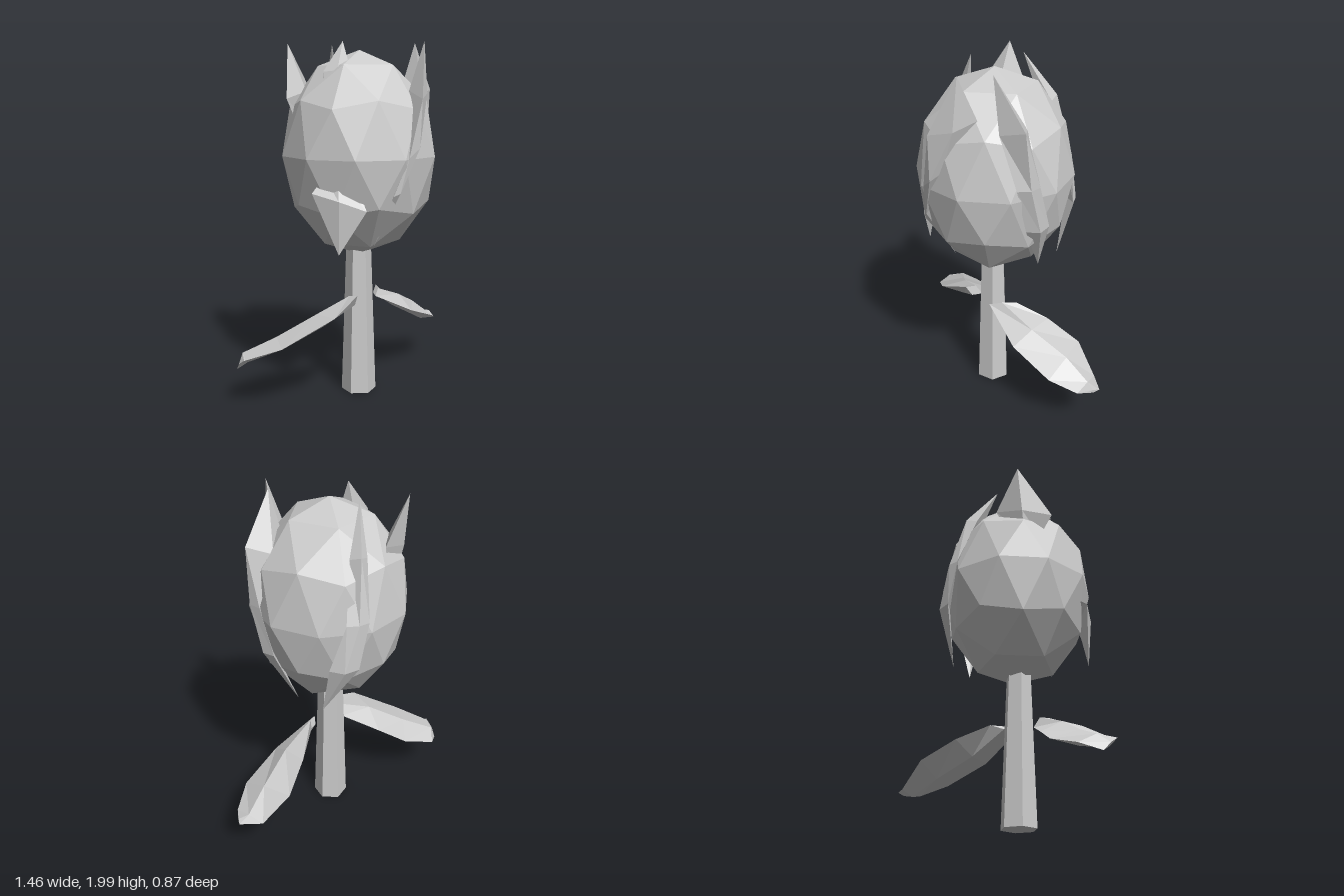
import * as THREE from 'three';

const material = new THREE.MeshStandardMaterial({ color: 0xcccccc, flatShading: true });

// Lofts a faceted blade through sections [edgeA, edgeB, thickness];
// each section becomes a diamond, and a section with one point is a sharp end.
function blade(name, sections) {
  const edges = sections.map(([a, b]) => [new THREE.Vector3(...a), new THREE.Vector3(...(b || a))]);
  const mids = edges.map(([a, b]) => a.clone().add(b).multiplyScalar(0.5));
  const rings = edges.map(([a, b], i) => {
    const along = mids[Math.min(i + 1, mids.length - 1)].clone().sub(mids[Math.max(i - 1, 0)]);
    const n = along.cross(b.clone().sub(a)).normalize().multiplyScalar(sections[i][2] || 0);
    return [a, mids[i].clone().add(n), b, mids[i].clone().sub(n)];
  });
  const tris = [];
  const add = (a, b, c) => {
    const area = b.clone().sub(a).cross(c.clone().sub(a)).length();
    if (area > 1e-6) tris.push([a, b, c]);
  };
  for (let i = 0; i < rings.length - 1; i++) {
    for (let j = 0; j < 4; j++) {
      const k = (j + 1) % 4;
      add(rings[i][j], rings[i][k], rings[i + 1][k]);
      add(rings[i][j], rings[i + 1][k], rings[i + 1][j]);
    }
  }
  const first = rings[0], last = rings[rings.length - 1];
  add(first[0], first[2], first[1]);
  add(first[0], first[3], first[2]);
  add(last[0], last[1], last[2]);
  add(last[0], last[2], last[3]);

  // Turn all faces outward
  const c = mids[1];
  const volume = tris.reduce((s, [p, q, r]) =>
    s + p.clone().sub(c).dot(q.clone().sub(c).cross(r.clone().sub(c))), 0);
  if (volume < 0) tris.forEach((t) => t.reverse());

  const geometry = new THREE.BufferGeometry().setFromPoints(tris.flat());
  geometry.computeVertexNormals();
  const mesh = new THREE.Mesh(geometry, material);
  mesh.name = name;
  return mesh;
}

export function createModel() {
  const model = new THREE.Group();
  model.name = 'flower';

  // Bud: faceted egg with a vertex at each pole
  const budGeometry = new THREE.IcosahedronGeometry(1, 1);
  budGeometry.rotateZ(-Math.atan(2 / (1 + Math.sqrt(5))));
  budGeometry.scale(0.437, 0.57, 0.434);
  const bud = new THREE.Mesh(budGeometry, material);
  bud.name = 'bud';
  bud.position.set(-0.005, 1.392, 0);
  model.add(bud);

  // Six-sided tapering stem
  const stem = new THREE.Mesh(new THREE.CylinderGeometry(0.07, 0.1, 0.9, 6), material);
  stem.name = 'stem';
  stem.position.set(-0.015, 0.46, 0.007);
  model.add(stem);

  // Drooping leaves
  model.add(blade('leftLeaf', [
    [[0.06, 0.575, 0.07], [0.15, 0.6, -0.06], 0.02],
    [[0.33, 0.44, 0.06], [0.28, 0.52, -0.2], 0.04],
    [[0.57, 0.34, -0.03], [0.43, 0.41, -0.32], 0.04],
    [[0.68, 0.28, -0.15], [0.6, 0.28, -0.32], 0.025],
    [[0.7, 0.28, -0.2], [0.72, 0.29, -0.27], 0.01],
  ]));
  model.add(blade('rightLeaf', [
    [[-0.11, 0.62, 0.14], [-0.11, 0.54, 0.03], 0.03],
    [[-0.3, 0.54, 0.21], [-0.3, 0.44, -0.1], 0.04],
    [[-0.57, 0.39, 0.11], [-0.45, 0.35, -0.18], 0.04],
    [[-0.72, 0.32, -0.02], [-0.65, 0.28, -0.2], 0.03],
    [[-0.73, 0.32, -0.02], [-0.73, 0.24, -0.12], 0.01],
  ]));

  // Pointed petals wrapped around and cutting through the bud
  const petals = {
    frontPetal: [
      [[0.2, 2, 0.31]],
      [[0.1, 1.7, 0.43], [0.21, 1.77, 0.21], 0.05],
      [[0.02, 1.4, 0.43], [0.13, 1.5, 0.37], 0.03],
      [[-0.05, 1.2, 0.39], [0, 1.25, 0.39], 0.02],
      [[-0.06, 0.9, 0.22]],
    ],
    leftPetal: [
      [[0.26, 2, 0.15]],
      [[0.32, 1.72, -0.01], [0.32, 1.72, 0.15], 0.12],
      [[0.42, 1.45, -0.03], [0.41, 1.45, 0.1], 0.03],
      [[0.39, 1.2, -0.11], [0.39, 1.2, 0.03], 0.03],
      [[0.26, 0.9, -0.13]],
    ],
    backPetal: [
      [[-0.06, 2, -0.2]],
      [[-0.03, 1.75, -0.33], [0.06, 1.75, -0.31], 0.05],
      [[0.01, 1.45, -0.43], [0.13, 1.45, -0.41], 0.02],
      [[0.07, 1.2, -0.44], [0.21, 1.2, -0.38], 0.03],
      [[0.2, 0.9, -0.29]],
    ],
    backRightPetal: [
      [[-0.31, 2, -0.26]],
      [[-0.41, 1.7, -0.09], [-0.16, 1.76, -0.29], 0.05],
      [[-0.34, 1.58, -0.12], [-0.22, 1.58, -0.24], 0.03],
      [[-0.2, 1, -0.12]],
    ],
    frontRightPetal: [
      [[-0.15, 2, 0.06]],
      [[-0.26, 1.84, 0.04], [-0.13, 1.84, 0.11], 0.03],
      [[-0.31, 1.3, 0.13], [-0.2, 1.3, 0.25], 0.03],
      [[-0.41, 1.22, 0.17], [-0.19, 1.13, 0.35], 0.04],
      [[-0.31, 0.9, 0.27]],
    ],
  };
  for (const [name, sections] of Object.entries(petals)) model.add(blade(name, sections));

  return model;
}
